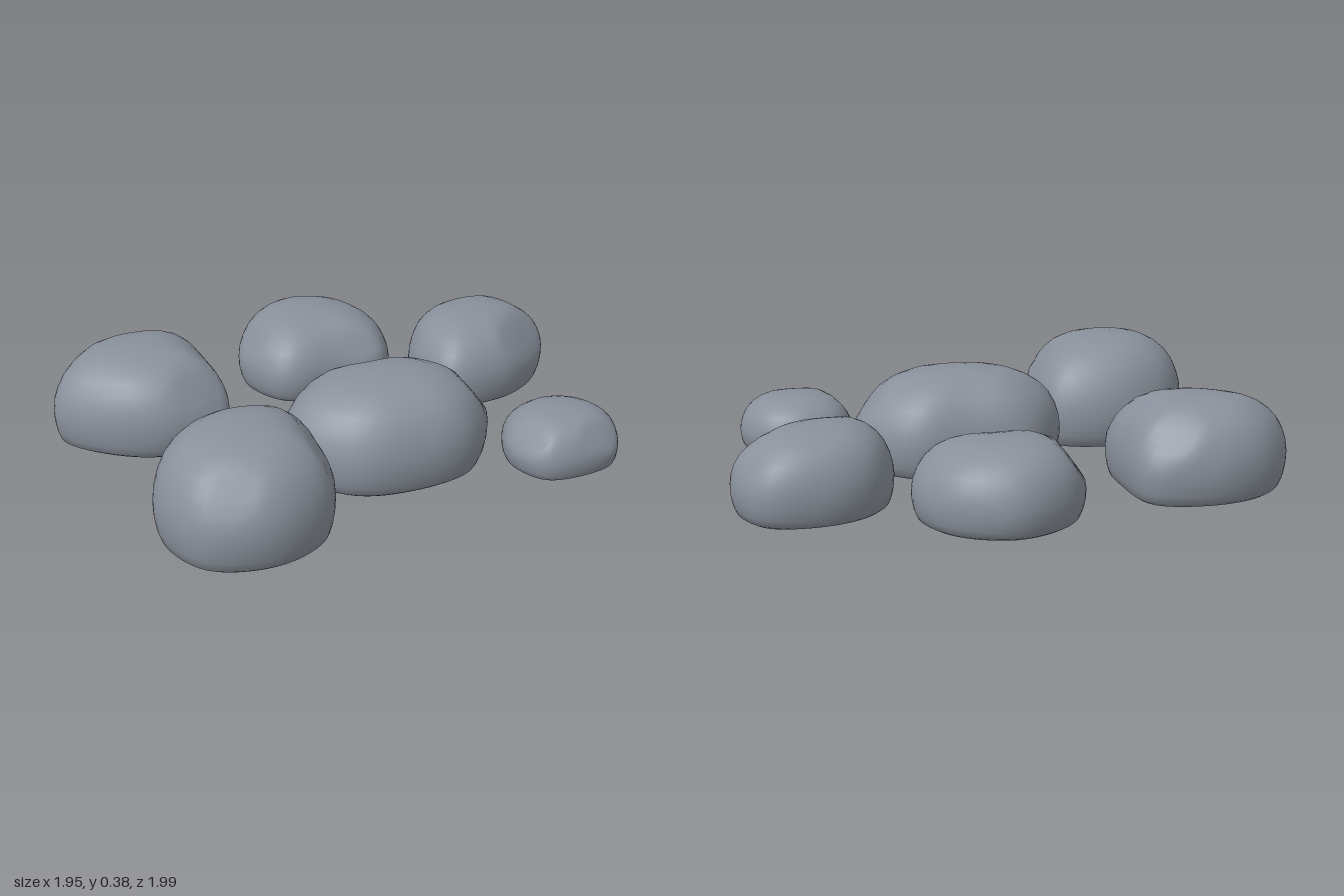
import * as THREE from 'three';

const SIDES = 56;

// Stone side profile from base to crown: [share of outline, share of height]
const PROFILE = [
  [0.89, 0], [0.94, 0.03], [0.975, 0.12], [0.995, 0.23], [1, 0.34], [0.985, 0.46], [0.945, 0.58],
  [0.88, 0.7], [0.79, 0.8], [0.67, 0.885], [0.53, 0.945], [0.37, 0.98], [0.19, 0.997],
];

// Direction in plan for an angle in degrees, from +x towards +z
function compass(degrees) {
  const a = THREE.MathUtils.degToRad(degrees);
  return new THREE.Vector3(Math.cos(a), 0, Math.sin(a));
}

// centre, peak: [x, z]; radii: plan radius at every 45 degrees; facets: [angle, distance]
function stoneGeometry({ centre, peak, base, crown, radii, facets }) {
  const middle = new THREE.Vector3(centre[0], 0, centre[1]);
  const summit = new THREE.Vector3(peak[0], 0, peak[1]);
  const points = radii.map((r, i) => compass(i * 45).multiplyScalar(r));
  const rim = new THREE.CatmullRomCurve3(points, true).getSpacedPoints(SIDES).slice(0, SIDES);
  const height = crown - base;
  const cuts = facets.map(([angle, distance]) => ({
    normal: compass(angle).multiplyScalar(0.8).setY(0.6), distance,
  }));
  const positions = [];
  const index = [];

  // Rings of the scaled outline, leaning towards the peak
  for (const [scale, rise] of PROFILE) {
    const ringCentre = middle.clone();
    if (rise > 0.34) ringCentre.lerp(summit, 1 - scale);
    for (const r of rim) {
      const p = ringCentre.clone().addScaledVector(r, scale);
      p.y = (rise - 0.35) * height;
      // Worn facets on the shoulders
      for (const { normal, distance } of cuts) {
        const over = p.clone().sub(middle).dot(normal) - distance;
        if (over > 0 && rise > 0.34) p.addScaledVector(normal, -over * 0.8);
      }
      // Gentle unevenness
      const bump = 0.012 * Math.min(rise, 1 - rise) * Math.sin(p.x * 19 + 1) * Math.cos(p.z * 17);
      positions.push(p.x, p.y + base + 0.35 * height + bump, p.z);
    }
  }

  // Sides
  for (let i = 0; i < PROFILE.length - 1; i++) {
    for (let j = 0; j < SIDES; j++) {
      const a = i * SIDES + j;
      const b = i * SIDES + (j + 1) % SIDES;
      index.push(a, a + SIDES, b, b, a + SIDES, b + SIDES);
    }
  }

  // Crown
  const top = (PROFILE.length - 1) * SIDES;
  const apex = top + SIDES;
  positions.push(summit.x, crown, summit.z);
  for (let j = 0; j < SIDES; j++) index.push(top + j, apex, top + (j + 1) % SIDES);

  // Flat underside with its own vertices for a crisp edge
  const under = apex + 1;
  positions.push(...positions.slice(0, SIDES * 3), middle.x, base, middle.z);
  for (let j = 0; j < SIDES; j++) index.push(under + SIDES, under + j, under + (j + 1) % SIDES);

  const geometry = new THREE.BufferGeometry();
  geometry.setAttribute('position', new THREE.Float32BufferAttribute(positions, 3));
  geometry.setIndex(index);
  geometry.computeVertexNormals();
  return geometry;
}

export function createModel() {
  const group = new THREE.Group();
  group.name = 'stones';
  const stone = new THREE.MeshStandardMaterial({ color: 0x8a919c });
  stone.name = 'grey stone';

  const addStone = (name, shape) => {
    const mesh = new THREE.Mesh(stoneGeometry(shape), stone);
    mesh.name = name;
    group.add(mesh);
  };

  addStone('rightStone', {
    centre: [-0.68, 0.14], peak: [-0.71, 0.13], base: 0.02, crown: 0.342,
    radii: [0.32, 0.28, 0.27, 0.335, 0.3, 0.28, 0.31, 0.26], facets: [[20, 0.25], [255, 0.26]],
  });
  addStone('frontStone', {
    centre: [-0.06, 0.65], peak: [-0.08, 0.65], base: 0.015, crown: 0.382,
    radii: [0.295, 0.31, 0.34, 0.315, 0.3, 0.31, 0.35, 0.285], facets: [[-33, 0.26], [68, 0.29]],
  });
  addStone('centreStone', {
    centre: [0.19, 0.03], peak: [0.18, 0.05], base: 0.003, crown: 0.342,
    radii: [0.33, 0.283, 0.325, 0.38, 0.32, 0.25, 0.32, 0.38], facets: [[-37, 0.31]],
  });
  addStone('backRightStone', {
    centre: [-0.29, -0.49], peak: [-0.34, -0.5], base: 0.02, crown: 0.287,
    radii: [0.29, 0.225, 0.29, 0.29, 0.28, 0.285, 0.28, 0.28], facets: [[39, 0.205], [140, 0.24]],
  });
  addStone('backStone', {
    centre: [0.28, -0.69], peak: [0.25, -0.69], base: 0.015, crown: 0.298,
    radii: [0.23, 0.235, 0.3, 0.255, 0.24, 0.25, 0.31, 0.29], facets: [[4, 0.19]],
  });
  addStone('smallLeftStone', {
    centre: [0.77, -0.16], peak: [0.77, -0.16], base: 0.03, crown: 0.22,
    radii: [0.195, 0.175, 0.21, 0.205, 0.21, 0.205, 0.2, 0.2], facets: [[23, 0.15], [120, 0.165]],
  });
  return group;
}
